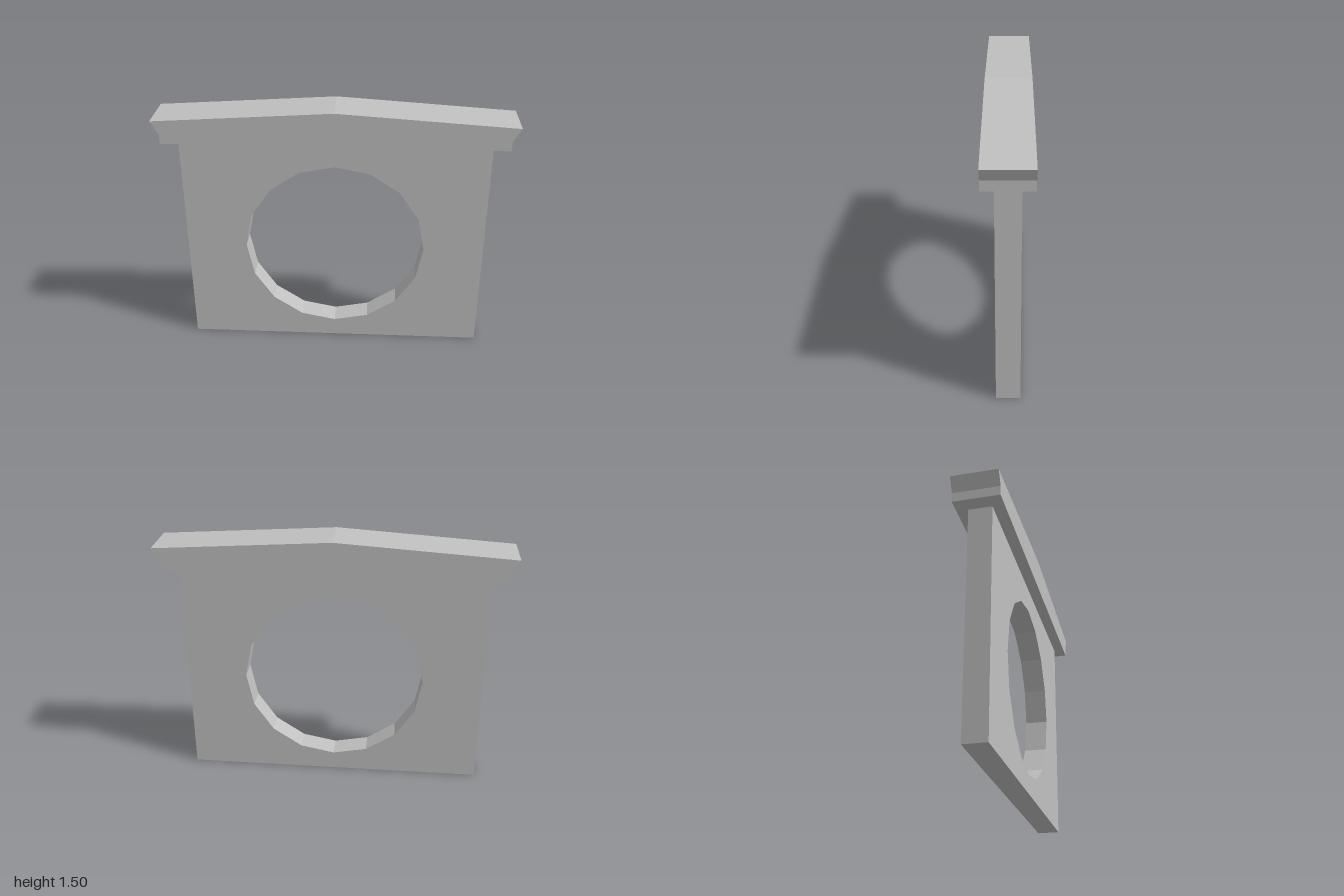
import * as THREE from 'three';

const stone = new THREE.MeshStandardMaterial({ color: 0xc0c0c0 });
stone.name = 'grey stone';

// Extrudes a front outline to the given depth, centred on z = 0
function slab(name, shape, depth) {
  const geometry = new THREE.ExtrudeGeometry(shape, { depth, bevelEnabled: false });
  geometry.translate(0, 0, -depth / 2);
  const mesh = new THREE.Mesh(geometry, stone);
  mesh.name = name;
  return mesh;
}

// Closed outline from its right half, mirrored across x = 0
function mirroredShape(half) {
  const right = half.map(([x, y]) => new THREE.Vector2(x, y));
  const left = half.filter(([x]) => x > 0).reverse().map(([x, y]) => new THREE.Vector2(-x, y));
  return new THREE.Shape([...right, ...left]);
}

export function createModel() {
  const model = new THREE.Group();
  model.name = 'wallWithRoundOpening';

  // Wall with a sixteen-sided opening
  const wall = mirroredShape([[0.87, 0], [0.87, 1.305]]);
  const sides = 16, radius = 0.523, centreY = 0.633;
  const ring = [];
  for (let i = 0; i < sides; i++) {
    const a = (i / sides) * Math.PI * 2;
    ring.push(new THREE.Vector2(radius * Math.sin(a), centreY + radius * Math.cos(a)));
  }
  wall.holes.push(new THREE.Path(ring));
  model.add(slab('wall', wall, 0.132));

  // Shallow gabled coping with flared ends
  const coping = mirroredShape([[0.955, 1.305], [0.955, 1.36], [1, 1.435], [0, 1.5]]);
  model.add(slab('coping', coping, 0.262));

  return model;
}
